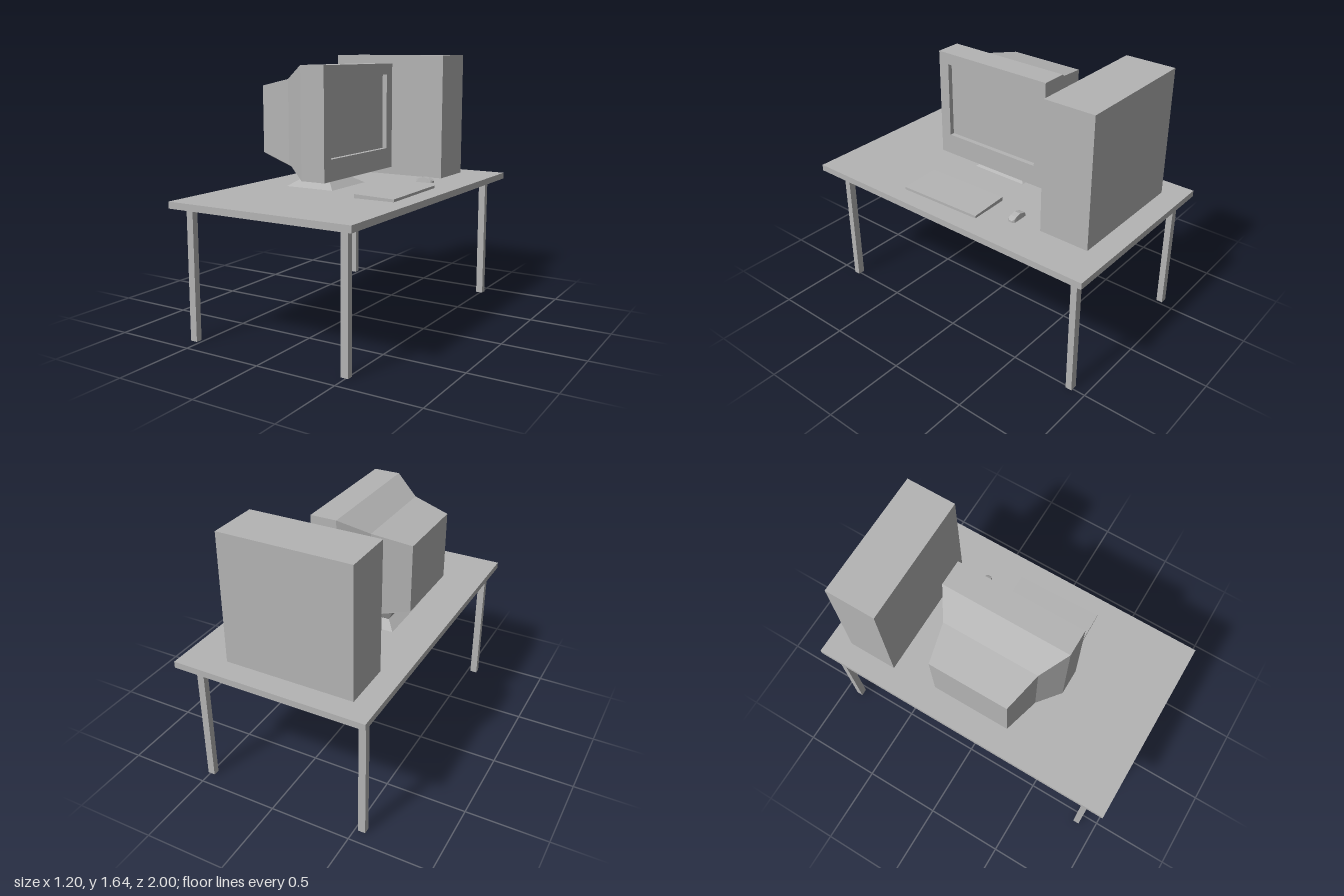
import * as THREE from 'three';
import { ConvexGeometry } from 'three/addons/geometries/ConvexGeometry.js';

const grey = new THREE.MeshStandardMaterial({ color: 0xb4b4b4, flatShading: true });
grey.name = 'plain grey';

export function createModel() {
  const model = new THREE.Group();
  model.name = 'computerDesk';

  const add = (name, geometry, parent = model) => {
    const mesh = new THREE.Mesh(geometry, grey);
    mesh.name = name;
    parent.add(mesh);
    return mesh;
  };
  // box given by its limits on each axis
  const box = (name, [x0, x1], [y0, y1], [z0, z1], parent) =>
    add(name, new THREE.BoxGeometry(x1 - x0, y1 - y0, z1 - z0)
      .translate((x0 + x1) / 2, (y0 + y1) / 2, (z0 + z1) / 2), parent);
  // convex solid from corner points
  const hull = (name, points, parent) =>
    add(name, new ConvexGeometry(points.map(p => new THREE.Vector3(...p))), parent);
  // rectangular section across x, and across y
  const sectionX = (x, y0, y1, z0, z1) =>
    [[x, y0, z0], [x, y1, z0], [x, y1, z1], [x, y0, z1]];
  const sectionY = (y, x0, x1, z0, z1) =>
    [[x0, y, z0], [x1, y, z0], [x1, y, z1], [x0, y, z1]];

  // table
  box('tableTop', [-0.6, 0.6], [0.8, 0.84], [-1, 1]);
  for (const [x, side] of [[-0.5425, 'right'], [0.4925, 'left']]) {
    for (const [z, end] of [[0.875, 'Front'], [-0.9, 'Back']]) {
      box(side + end + 'Leg', [x - 0.0225, x + 0.0225], [0, 0.8], [z - 0.02, z + 0.02]);
    }
  }

  // computer case standing at the back
  box('computerCase', [-0.46, 0.34], [0.84, 1.64], [-0.86, -0.545]);

  // monitor, its screen towards +x
  const monitor = new THREE.Group();
  monitor.name = 'monitor';
  model.add(monitor);
  box('screenAndFrontHousing', [-0.09, 0.04], [0.92, 1.59], [-0.36, 0.435], monitor);

  // bezel around the recessed screen
  const rect = (Type, x0, x1, y0, y1) => new Type([[x0, y0], [x1, y0], [x1, y1], [x0, y1]]
    .map(p => new THREE.Vector2(...p)));
  const frame = rect(THREE.Shape, -0.435, 0.36, 0.92, 1.59);
  frame.holes.push(rect(THREE.Path, -0.365, 0.29, 1.05, 1.52));
  add('bezel', new THREE.ExtrudeGeometry(frame, { depth: 0.03, bevelEnabled: false })
    .rotateY(Math.PI / 2).translate(0.04, 0, 0), monitor);

  // tapering tube housing
  const shoulder = sectionX(-0.25, 1.005, 1.505, -0.26, 0.335);
  hull('housingTaper', [...sectionX(-0.09, 0.92, 1.59, -0.36, 0.435), ...shoulder], monitor);
  hull('housingBack', [...shoulder, ...sectionX(-0.48, 1.05, 1.46, -0.21, 0.28)], monitor);
  hull('housingKeel', [
    [-0.09, 0.92, -0.23], [-0.09, 0.92, 0.3], [-0.45, 1.01, -0.15], [-0.45, 1.01, 0.22],
    [-0.48, 1.05, -0.21], [-0.48, 1.05, 0.28], [-0.09, 1.05, -0.23], [-0.09, 1.05, 0.3],
  ], monitor);

  // stand: flared neck meeting the sloping underside, and low base
  hull('standNeck', [
    ...sectionY(0.88, -0.29, -0.07, -0.085, 0.165),
    [-0.34, 0.982, -0.13], [-0.34, 0.982, 0.21], [-0.02, 0.92, -0.13], [-0.02, 0.92, 0.21],
  ], monitor);
  hull('standBase', [
    ...sectionY(0.84, -0.345, -0.01, -0.15, 0.23),
    ...sectionY(0.88, -0.29, -0.07, -0.085, 0.165),
  ], monitor);

  // keyboard, turned slightly, thinner towards the user
  const outline = [[0.22, -0.175], [0.47, -0.18], [0.485, 0.365], [0.23, 0.37]];
  const heights = [0.864, 0.856, 0.856, 0.864];
  hull('keyboard', outline.flatMap(([x, z], i) => [[x, 0.84, z], [x, heights[i], z]]));

  // mouse: low body with a hump and a narrowed nose
  const mouse = [[0.265, 0.86, 0.024], [0.285, 0.867, 0.025], [0.31, 0.874, 0.024],
    [0.345, 0.867, 0.025], [0.365, 0.858, 0.024], [0.375, 0.852, 0.012]];
  hull('mouse', mouse.flatMap(([x, y, w]) => [-1, 1].flatMap(s =>
    [[x, 0.84, -0.36 + s * w], [x, y, -0.36 + s * w * 0.85]])));

  return model;
}
